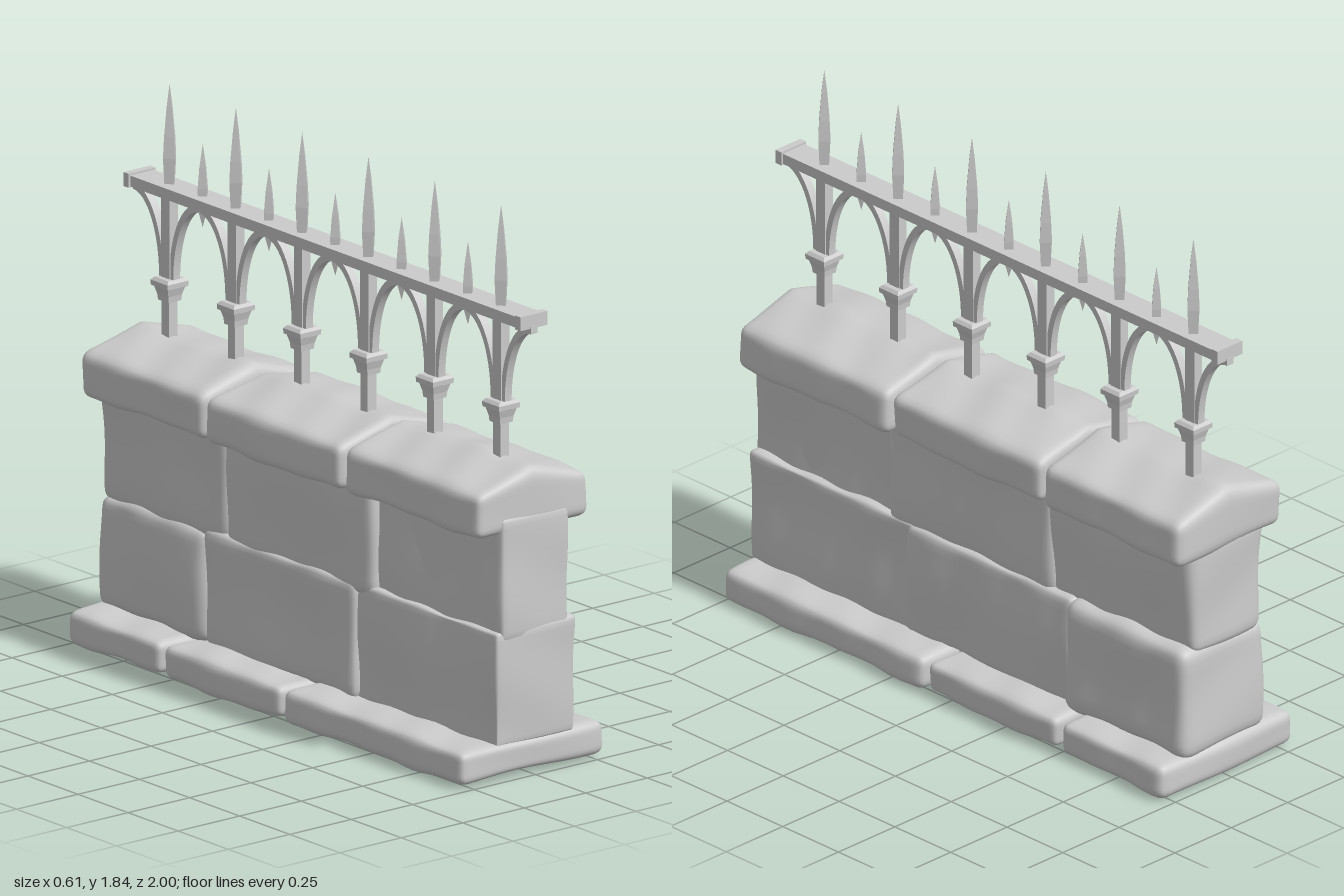
import * as THREE from 'three';
import { mergeVertices } from 'three/addons/utils/BufferGeometryUtils.js';

const material = new THREE.MeshStandardMaterial({ color: 0xcccccc });

function add(parent, name, geometry, x = 0, y = 0, z = 0) {
  const mesh = new THREE.Mesh(geometry, material);
  mesh.name = name;
  mesh.position.set(x, y, z);
  parent.add(mesh);
  return mesh;
}

// Worn stone block: rounded box, gently uneven, optionally ridged along the top
function stone([x0, x1], [y0, y1], [z0, z1], { r = 0.03, wobble = 0.006, ridge = 0, flare = 0, seed = 0 } = {}) {
  let g = new THREE.BoxGeometry(2, 2, 2, 16, 14, 26);
  g.deleteAttribute('normal');
  g.deleteAttribute('uv');
  g = mergeVertices(g);
  const half = new THREE.Vector3(x1 - x0, y1 - y0, z1 - z0).multiplyScalar(0.5);
  const inner = half.clone().subScalar(r);
  const low = inner.clone().negate();
  const v = new THREE.Vector3(), core = new THREE.Vector3(), d = new THREE.Vector3();
  const p = g.attributes.position;
  // crowd the grid lines towards the edges
  const ease = (t) => 0.35 * t + 0.65 * Math.sin(t * Math.PI / 2);
  for (let i = 0; i < p.count; i++) {
    v.fromBufferAttribute(p, i);
    v.set(ease(v.x), ease(v.y), ease(v.z)).multiply(half);
    core.copy(v).clamp(low, inner);
    d.copy(v).sub(core).normalize();
    v.copy(core).addScaledVector(d, r);
    const n = Math.sin(v.z * 11 + seed * 2.1 + v.y * 6) * 0.5
      + Math.sin(v.y * 17 + seed * 3.7 + v.x * 9) * 0.3
      + Math.sin(v.z * 27 + v.x * 13 + seed) * 0.3 - 0.4;
    v.addScaledVector(d, n * wobble);
    const h = (v.y + half.y) / (2 * half.y);
    v.x *= 1 + flare * (h - 0.5);
    v.y += ridge * Math.max(0, 1 - Math.abs(v.x) / half.x) * h;
    p.setXYZ(i, v.x + (x0 + x1) / 2, v.y + (y0 + y1) / 2, v.z + (z0 + z1) / 2);
  }
  g.computeVertexNormals();
  return g;
}

// Square section turned profile, sides facing x and z; radii are half widths
function square(points, turn = Math.PI / 4) {
  const k = turn ? Math.SQRT2 : 1;
  const g = new THREE.LatheGeometry(points.map(([r, y]) => new THREE.Vector2(r * k, y)), 4)
    .rotateY(turn).toNonIndexed();
  g.computeVertexNormals();
  return g;
}

export function createModel() {
  const model = new THREE.Group();
  model.name = 'wallWithRailing';
  const masonry = new THREE.Group();
  masonry.name = 'masonry';
  const railing = new THREE.Group();
  railing.name = 'railing';
  model.add(masonry, railing);

  // Footing slabs
  [[0.095, 1], [-0.505, 0.085], [-0.985, -0.515]].forEach((z, i) =>
    add(masonry, 'footingStone', stone([-0.3, 0.295], [0, 0.122], z, { r: 0.035, wobble: 0.009, seed: i })));

  // Lower course
  [
    [[-0.16, 0.17], [0.26, 1], 0.018],
    [[-0.172, 0.18], [-0.46, 0.3], 0.03],
    [[-0.185, 0.2], [-0.985, -0.43], 0.05],
  ].forEach(([x, z, r], i) =>
    add(masonry, 'lowerWallStone', stone(x, [0.1, 0.49], z, { r, wobble: 0.01, seed: i + 4 })));

  // Upper course
  [
    [[-0.135, 0.14], [0.36, 1], 0.018, 0],
    [[-0.17, 0.165], [-0.36, 0.39], 0.04, 0.08],
    [[-0.175, 0.165], [-0.985, -0.33], 0.045, 0.12],
  ].forEach(([x, z, r, flare], i) =>
    add(masonry, 'upperWallStone', stone(x, [0.45, 0.86], z, { r, flare, wobble: 0.01, seed: i + 8 })));

  // Mortar core closing the joints
  add(masonry, 'wallCore', new THREE.BoxGeometry(0.26, 0.78, 1.9), 0, 0.46, 0.01);

  // Ridged coping stones
  [[[-0.235, 0.23], [0.318, 1]], [[-0.24, 0.23], [-0.372, 0.308]], [[-0.235, 0.235], [-0.995, -0.382]]]
    .forEach(([x, z], i) =>
      add(masonry, 'copingStone', stone(x, [0.8, 0.955], z, { r: 0.035, ridge: 0.058, wobble: 0.008, seed: i + 12 })));

  // Top rail with end blocks
  add(railing, 'topRail', new THREE.BoxGeometry(0.096, 0.036, 1.97), 0, 1.488, 0.005);
  for (const z of [0.978, -0.978])
    add(railing, 'railEnd', new THREE.BoxGeometry(0.11, 0.046, 0.026), 0, 1.49, z);

  // Quarter arch brace, from post foot out to the rail
  const arch = new THREE.Shape();
  arch.absellipse(0, 0, 0.15, 0.278, 0, Math.PI / 2, false);
  arch.lineTo(0, 0.254);
  arch.absellipse(0, 0, 0.13, 0.254, Math.PI / 2, 0, true);
  const brace = new THREE.ExtrudeGeometry(arch, { depth: 0.028, bevelEnabled: false, curveSegments: 14 })
    .translate(0, 0, -0.014);

  const collar = square([[0, 1.12], [0.026, 1.12], [0.028, 1.14], [0.035, 1.165], [0.042, 1.168],
    [0.043, 1.185], [0.034, 1.195], [0, 1.195]]);
  const spike = square([[0.021, 1.5], [0.027, 1.59], [0.023, 1.66], [0.012, 1.76], [0, 1.835]], 0);
  const smallSpike = square([[0, 1.4], [0.02, 1.46], [0.021, 1.53], [0.014, 1.6], [0, 1.675]], 0);

  const step = 0.331;
  for (let i = 0; i < 6; i++) {
    const z = (2.5 - i) * step;
    add(railing, 'postFoot', new THREE.BoxGeometry(0.036, 0.2, 0.036), 0, 1.06, z);
    add(railing, 'postShaft', new THREE.BoxGeometry(0.034, 0.31, 0.042), 0, 1.335, z);
    add(railing, 'postCollar', collar, 0, 0, z);
    add(railing, 'postSpike', spike, 0, 0, z);
    // braces to either side of the post
    for (const s of [1, -1])
      add(railing, 'archBrace', brace, 0, 1.195, z + s * step / 2).rotation.y = s * Math.PI / 2;
    if (i < 5) add(railing, 'smallSpike', smallSpike, 0, 0, z - step / 2);
  }
  return model;
}
